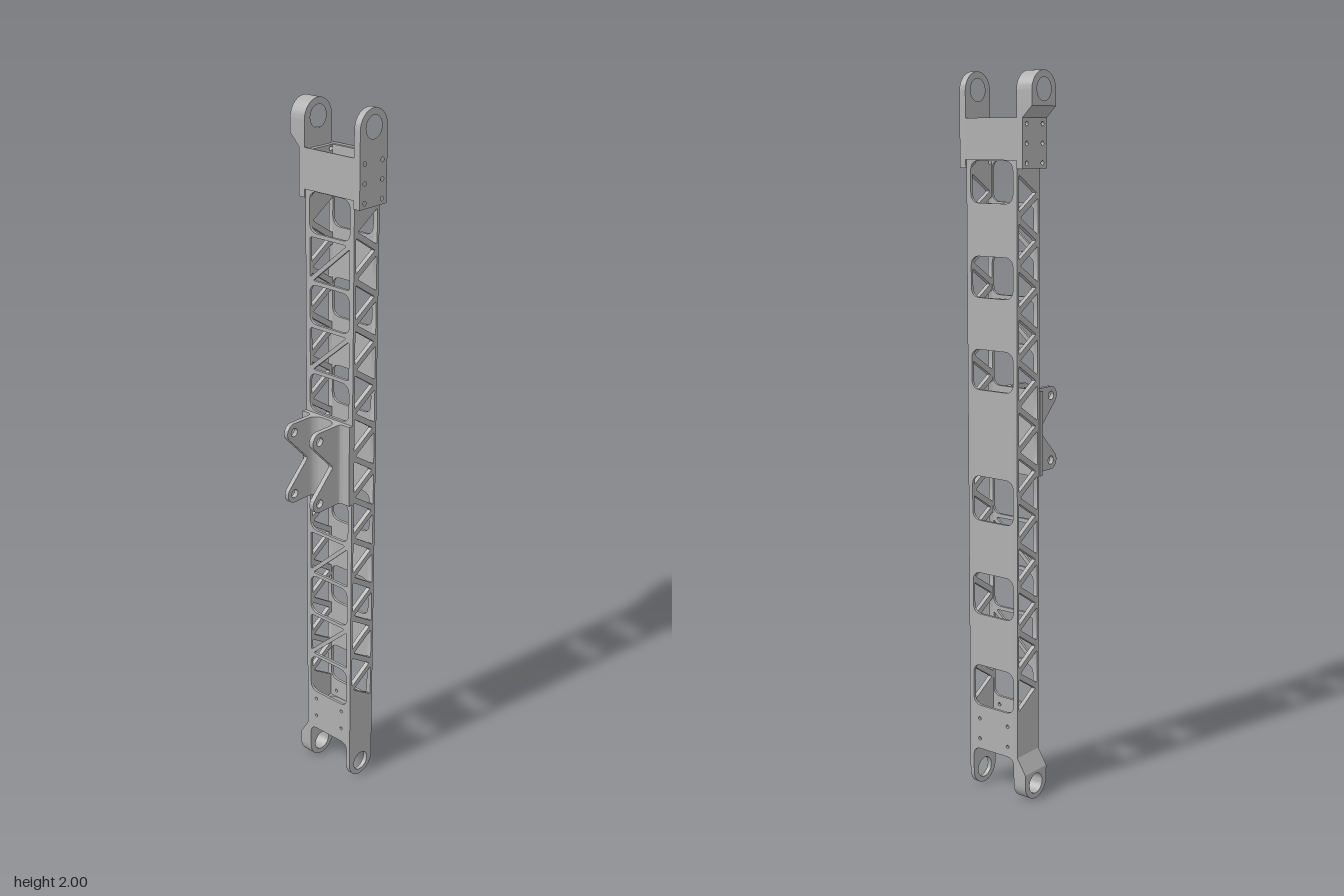
import * as THREE from 'three';
import { toCreasedNormals } from 'three/addons/utils/BufferGeometryUtils.js';

const V = (x, y) => new THREE.Vector2(x, y);
const CX = 0.0565;                 // beam centre line
const X0 = 0.008, X1 = 0.105;      // beam width
const Z0 = -0.07, Z1 = 0.1;        // beam depth
const WALL = 0.013;

const metal = new THREE.MeshStandardMaterial({ color: 0xb0b0b0 });
metal.name = 'brushed grey metal';

// Closed outline with every corner rounded
function rounded(points, r, Type = THREE.Path) {
  const path = new Type();
  points.forEach((p, i) => {
    const a = points[(i + points.length - 1) % points.length];
    const b = points[(i + 1) % points.length];
    const s = p.clone().add(a.clone().sub(p).setLength(r));
    const e = p.clone().add(b.clone().sub(p).setLength(r));
    if (i) path.lineTo(s.x, s.y); else path.moveTo(s.x, s.y);
    path.quadraticCurveTo(p.x, p.y, e.x, e.y);
  });
  path.closePath();
  return path;
}
const rect = (x0, x1, y0, y1) => [V(x0, y0), V(x1, y0), V(x1, y1), V(x0, y1)];
const circle = (x, y, r) => new THREE.Path().absarc(x, y, r, 0, Math.PI * 2, true);

// Triangle pulled in from its sides by t
function triangleHole(a, b, c, t, r) {
  const la = b.distanceTo(c), lb = a.distanceTo(c), lc = a.distanceTo(b), sum = la + lb + lc;
  const mid = V((a.x * la + b.x * lb + c.x * lc) / sum, (a.y * la + b.y * lb + c.y * lc) / sum);
  const area = Math.abs((b.x - a.x) * (c.y - a.y) - (c.x - a.x) * (b.y - a.y)) / 2;
  const k = 1 - t / (2 * area / sum);
  return rounded([a, b, c].map(p => p.clone().sub(mid).multiplyScalar(k).add(mid)), r);
}

function extrude(shape, depth) {
  return new THREE.ExtrudeGeometry(shape, { depth, bevelEnabled: false, curveSegments: 14 });
}
function add(group, name, geometry) {
  const mesh = new THREE.Mesh(toCreasedNormals(geometry, 0.6), metal);
  mesh.name = name;
  group.add(mesh);
}
// Outline in x,y spanning z0..z1
const alongZ = (shape, z0, z1) => extrude(shape, z1 - z0).translate(0, 0, z0);
// Outline in z,y spanning x0..x1
const alongX = (shape, x0, x1) => extrude(shape, x1 - x0).rotateY(-Math.PI / 2).translate(x1, 0, 0);
// Outline in x,z spanning y0..y1
const alongY = (shape, y0, y1) => extrude(shape, y1 - y0).rotateX(Math.PI / 2).translate(0, y1, 0);

// Round-ended tab: flat edge at yFlat, rounded end with its centre at yRound
function tab(yFlat, yRound, r, holeY, holeR) {
  const s = new THREE.Shape();
  const up = yRound > yFlat;
  s.moveTo(CX - r, yFlat);
  s.lineTo(CX - r, yRound);
  s.absarc(CX, yRound, r, Math.PI, up ? 0 : Math.PI * 2, up);
  s.lineTo(CX + r, yFlat);
  s.closePath();
  s.holes.push(circle(CX, holeY, holeR));
  return s;
}
function boltHoles(shape) {
  for (const y of [1.765, 1.815, 1.865])
    for (const x of [0.023, 0.09]) shape.holes.push(circle(x, y, 0.006));
}

export function createModel() {
  const model = new THREE.Group();
  model.name = 'trussArm';

  // Front and back truss walls
  const r = (X1 - X0) / 2;
  const truss = tab(1.875, 0.0515, r, 0.047, 0.029);
  const step = 0.0625;
  for (let k = 0; k < 23; k++) {
    const y = 0.25 + k * step;
    const base = k % 2 ? X0 : X1, tip = k % 2 ? X1 : X0;
    truss.holes.push(triangleHole(V(base, y), V(base, y + 2 * step), V(tip, y + step), 0.008, 0.006));
  }
  boltHoles(truss);
  add(model, 'frontTrussWall', alongZ(truss, Z1 - WALL, Z1));
  add(model, 'backTrussWall', alongZ(truss, Z0, Z0 + WALL));

  // Side walls with rounded windows
  const zi0 = Z0 + WALL, zi1 = Z1 - WALL;
  const windows = [[0.255, 0.375], [0.525, 0.645], [0.795, 0.92], [1.16, 1.27], [1.41, 1.52], [1.66, 1.77]];
  for (const side of [1, -1]) {
    const wall = new THREE.Shape();
    wall.moveTo(zi0, 0.1);
    wall.quadraticCurveTo(zi0, 0.125, zi0 + 0.025, 0.125);
    wall.lineTo(zi1 - 0.025, 0.125);
    wall.quadraticCurveTo(zi1, 0.125, zi1, 0.1);
    wall.lineTo(zi1, 1.875);
    wall.lineTo(zi0, 1.875);
    wall.closePath();
    for (const [a, b] of windows)
      wall.holes.push(rounded(rect(zi0 + 0.001, zi1 - 0.001, a, b), 0.028));
    for (const y of side > 0 ? [0.155, 0.215] : [0.17, 0.23])
      for (const z of [-0.035, 0.065]) wall.holes.push(circle(z, y, 0.005));
    // Diagonal braces between the windows of the bracket side
    if (side < 0) windows.slice(0, -1).forEach(([, a], i) => {
      const b = windows[i + 1][0];
      if (b - a > 0.2) return;
      const [p, q, s, t] = rect(zi0 - 0.004, zi1 + 0.004, a + 0.005, b - 0.005);
      wall.holes.push(triangleHole(p, q, s, 0.006, 0.008), triangleHole(p, s, t, 0.006, 0.008));
    });
    const w = 0.008;
    add(model, side > 0 ? 'leftSideWall' : 'rightSideWall',
      side > 0 ? alongX(wall, X1 - w, X1) : alongX(wall, X0, X0 + w));
  }

  // Inner frames that stiffen the tube
  for (const y of [1.83, 0.18]) {
    const ring = new THREE.Shape(rect(X0 + 0.004, X1 - 0.004, zi0 - 0.004, zi1 + 0.004));
    ring.holes.push(rounded(rect(0.017, 0.096, -0.055, 0.083), 0.035));
    add(model, 'innerFrame', alongY(ring, y, y + 0.015));
  }

  // Upper end fitting
  const cap = new THREE.Group();
  cap.name = 'upperFitting';
  model.add(cap);
  const R = 0.0515;
  const frontPlate = tab(1.75, 2 - R, R, 1.952, 0.03);
  boltHoles(frontPlate);
  add(cap, 'frontFork', alongZ(frontPlate, 0.1, 0.12));
  const backPlate = new THREE.Shape(rect(CX - R, CX + R, 1.75, 1.88));
  boltHoles(backPlate);
  add(cap, 'backPlate', alongZ(backPlate, -0.09, Z0));
  add(cap, 'backForkSlope',
    alongX(new THREE.Shape([V(Z0, 1.88), V(-0.09, 1.88), V(-0.12, 1.91), V(Z0, 1.91)]), CX - R, CX + R));
  add(cap, 'backFork', alongZ(tab(1.91, 2 - R, R, 1.952, 0.03), -0.12, Z0));
  for (const x of [CX - R, X1])
    add(cap, 'sidePlate', alongX(new THREE.Shape(rect(Z0, Z1, 1.772, 1.88)), x, x + 0.003));

  // Lower back boss
  add(model, 'lowerBoss', alongZ(tab(0.085, 0.0515, r, 0.047, 0.029), -0.098, Z0));
  add(model, 'lowerBossSlope',
    alongX(new THREE.Shape([V(Z0, 0.085), V(-0.098, 0.085), V(Z0, 0.13)]), X0, X1));

  // Clevis bracket on the side
  const bracket = new THREE.Group();
  bracket.name = 'sideBracket';
  model.add(bracket);
  const yMid = 1.0375, half = 0.1175, face = -0.004;
  add(bracket, 'basePlate',
    alongX(new THREE.Shape(rect(-0.073, 0.1, yMid - half, yMid + half)), face, X0));
  const er = 0.026, ex = -0.085, ey = half - er;
  const lug = new THREE.Shape();
  lug.moveTo(face, yMid + half);
  lug.lineTo(ex, yMid + half);
  lug.absarc(ex, yMid + ey, er, Math.PI / 2, Math.PI * 1.25, false);
  lug.lineTo(-0.038, yMid + 0.006);
  lug.quadraticCurveTo(-0.032, yMid, -0.038, yMid - 0.006);
  lug.absarc(ex, yMid - ey, er, Math.PI * 0.75, Math.PI * 1.5, false);
  lug.lineTo(face, yMid - half);
  lug.closePath();
  for (const s of [1, -1]) lug.holes.push(circle(ex, yMid + s * ey, 0.012));
  for (const [z0, z1, inner] of [[-0.04, -0.027, 1], [0.053, 0.067, -1]]) {
    add(bracket, 'lug', alongZ(lug, z0, z1));
    // Fillets where the lug meets the plate
    for (const [dir, rad] of [[inner, 0.028], [-inner, 0.012]]) {
      const z = dir > 0 ? z1 : z0;
      const f = new THREE.Shape();
      f.moveTo(face, z);
      f.lineTo(face - rad, z);
      f.absarc(face - rad, z + dir * rad, rad, -dir * Math.PI / 2, 0, dir < 0);
      f.closePath();
      add(bracket, 'lugFillet', alongY(f, yMid - half, yMid + half));
    }
  }
  return model;
}
